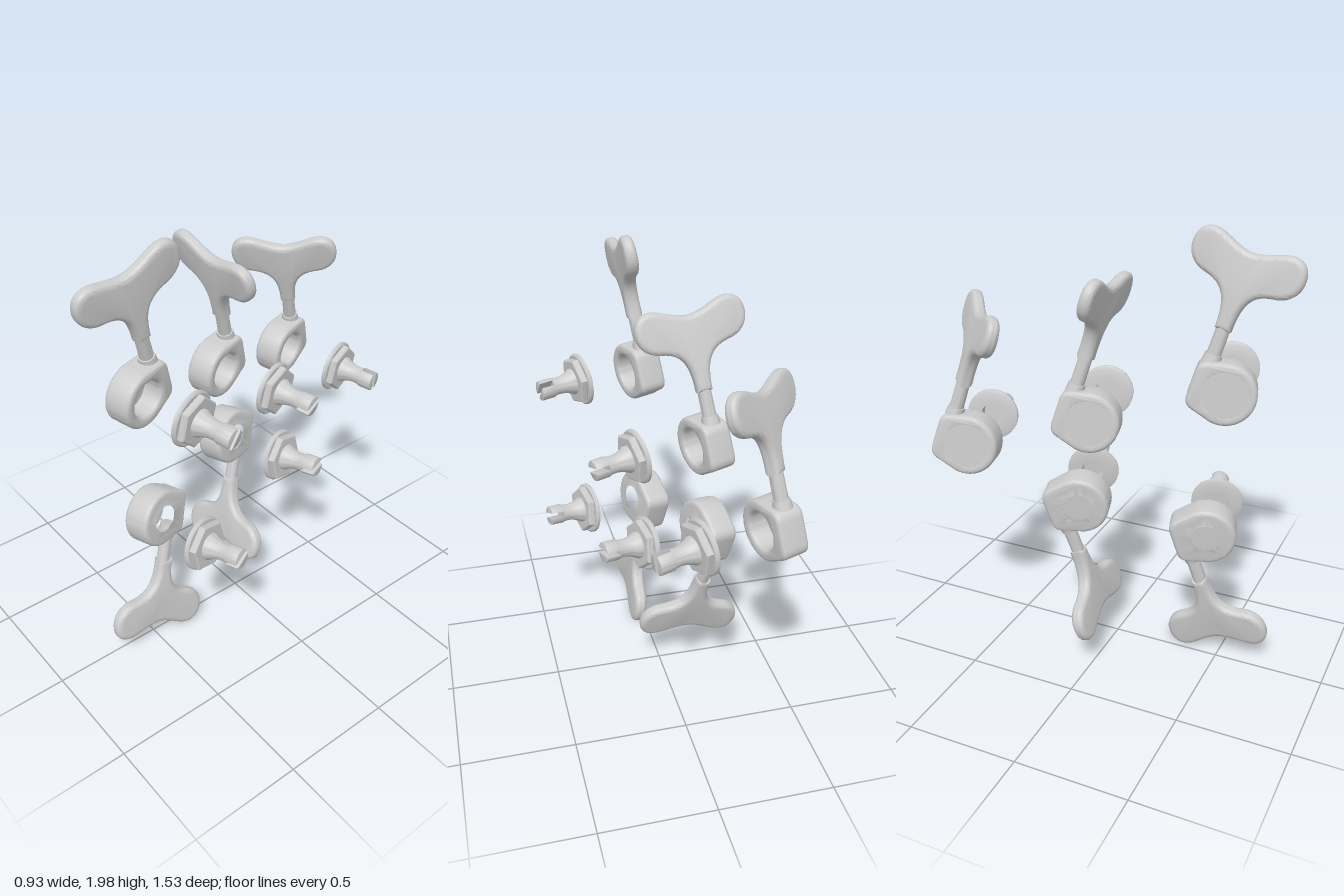
import * as THREE from 'three';
import { toCreasedNormals } from 'three/addons/utils/BufferGeometryUtils.js';

const material = new THREE.MeshStandardMaterial({ color: 0xcccccc });
const V2 = (x, y) => new THREE.Vector2(x, y);

function part(name, geometry, parent, crease = 0.6) {
  const mesh = new THREE.Mesh(toCreasedNormals(geometry, crease), material);
  mesh.name = name;
  parent.add(mesh);
  return mesh;
}

function circleHole(radius) {
  return new THREE.Path().absarc(0, 0, radius, 0, Math.PI * 2, true);
}

// Extrude centred on its depth, with bevels kept inside the outline
function slab(shape, thickness, bevel, segments = 3) {
  const geometry = new THREE.ExtrudeGeometry(shape, {
    depth: thickness - 2 * bevel, bevelEnabled: bevel > 0, bevelThickness: bevel,
    bevelSize: bevel, bevelOffset: -bevel, bevelSegments: segments, curveSegments: 32,
  });
  return geometry.translate(0, 0, bevel - thickness / 2);
}

// Gear housing: round on one side, squared off along the worm shaft
function housingGeometry(side) {
  const shape = new THREE.Shape();
  shape.absarc(0, 0, 0.132, 1.4, Math.PI * 2 - 1.4, false);
  shape.lineTo(0.1, -0.108);
  shape.quadraticCurveTo(0.148, -0.1, 0.148, -0.055);
  shape.lineTo(0.148, 0.055);
  shape.quadraticCurveTo(0.148, 0.1, 0.1, 0.108);
  shape.closePath();
  const points = shape.getPoints(24).map((p) => V2(p.x * side, p.y));
  const outline = new THREE.Shape(points);
  outline.holes.push(circleHole(0.08));
  return slab(outline, 0.125, 0.018, 4).rotateY(Math.PI / 2);
}

// Heart-like finger button on a slim neck, thinner toward the top
function buttonGeometry() {
  const half = new THREE.Path();
  half.moveTo(0.034, 0);
  half.bezierCurveTo(0.034, 0.12, 0.06, 0.175, 0.15, 0.19);
  half.bezierCurveTo(0.21, 0.2, 0.245, 0.245, 0.24, 0.3);
  half.bezierCurveTo(0.235, 0.36, 0.19, 0.385, 0.13, 0.365);
  half.bezierCurveTo(0.08, 0.347, 0.04, 0.327, 0, 0.327);
  const right = half.getPoints(14);
  const left = right.slice(0, -1).reverse().map((p) => V2(-p.x, p.y));
  const geometry = slab(new THREE.Shape([...right, ...left]), 0.066, 0.024, 5);
  const pos = geometry.attributes.position;
  for (let i = 0; i < pos.count; i++) {
    pos.setZ(i, pos.getZ(i) * (1.08 - 0.8 * pos.getY(i)));
  }
  return geometry;
}

function buildHead(side, buttonAngle) {
  const head = new THREE.Group();
  head.name = 'tuningHead';
  part('gearHousing', housingGeometry(side), head);
  // Closed back of the recess
  const back = new THREE.CylinderGeometry(0.098, 0.098, 0.035, 48).rotateZ(Math.PI / 2);
  part('housingBack', back, head).position.x = -0.045;
  // Worm shaft with a small collar, then the button
  const stem = new THREE.Group();
  stem.name = 'stem';
  stem.position.z = -0.1 * side;
  const shaft = new THREE.CylinderGeometry(0.029, 0.031, 0.2, 24);
  part('wormShaft', shaft, stem).position.y = 0.165;
  const collar = new THREE.CylinderGeometry(0.036, 0.042, 0.04, 24);
  part('shaftCollar', collar, stem).position.y = 0.115;
  const button = part('button', buttonGeometry(), stem, 0.7);
  button.position.y = 0.24;
  button.rotation.y = -buttonAngle * side;
  head.add(stem);
  return head;
}

function buildBushing(slotAngle) {
  const bushing = new THREE.Group();
  bushing.name = 'bushing';
  // Washer and waisted post in one turned profile, hollow underneath
  const profile = [
    [0, 0.035], [0.052, 0.035], [0.052, -0.018], [0.105, -0.018], [0.119, -0.012],
    [0.119, 0], [0.112, 0.006], [0.06, 0.006], [0.06, 0.042], [0.05, 0.06],
    [0.043, 0.08], [0.039, 0.1], [0.039, 0.12], [0.042, 0.14], [0, 0.14],
  ].map(([r, h]) => V2(r, h));
  part('washerAndPost', new THREE.LatheGeometry(profile, 40).rotateZ(-Math.PI / 2), bushing);
  // Hexagonal nut
  const corners = [];
  for (let i = 0; i < 6; i++) {
    const a = (i * Math.PI) / 3;
    corners.push(V2(Math.cos(a) * 0.112, Math.sin(a) * 0.112));
  }
  const hex = new THREE.Shape(corners);
  hex.holes.push(circleHole(0.056));
  part('hexNut', slab(hex, 0.034, 0.006, 1).rotateY(Math.PI / 2), bushing, 0.3).position.x = 0.02;
  // Split tip of the string post
  const tip = new THREE.Group();
  tip.name = 'slottedTip';
  tip.rotation.x = slotAngle;
  for (const turn of [0, Math.PI]) {
    const segment = new THREE.Shape();
    segment.absarc(0, 0, 0.045, 0.27, Math.PI - 0.27, false);
    segment.closePath();
    const prong = slab(segment, 0.065, 0.004, 2).rotateY(Math.PI / 2);
    const mesh = part('prong', prong, tip);
    mesh.position.x = 0.169;
    mesh.rotation.x = turn;
  }
  bushing.add(tip);
  return bushing;
}

// Frame with x along the post and y along the worm shaft
function frame(side) {
  const up = new THREE.Vector3(0.155, 0.95 * side, 0.27).normalize();
  const axis = new THREE.Vector3(0.96, -0.075 * side, -0.27);
  axis.addScaledVector(up, -axis.dot(up)).normalize();
  const across = new THREE.Vector3().crossVectors(axis, up);
  const matrix = new THREE.Matrix4().makeBasis(axis, up, across);
  return new THREE.Quaternion().setFromRotationMatrix(matrix);
}

export function createModel() {
  const model = new THREE.Group();
  model.name = 'tuningMachines';
  const deg = Math.PI / 180;
  // side: 1 points up, -1 points down
  const machines = [
    { side: 1, head: [-0.015, 1.335, 0.495], bushing: [0.27, 1.337, 0.43], button: 104, slot: 35 },
    { side: 1, head: [-0.19, 1.185, -0.04], bushing: [0.13, 1.193, -0.11], button: 12, slot: 0 },
    { side: 1, head: [-0.33, 1.045, -0.555], bushing: [-0.01, 1.045, -0.633], button: -28, slot: 75 },
    { side: -1, head: [-0.025, 0.675, 0.44], bushing: [0.265, 0.675, 0.387], button: 104, slot: 40 },
    { side: -1, head: [-0.19, 0.79, -0.093], bushing: [0.11, 0.798, -0.175], button: 12, slot: 25 },
  ];
  for (const m of machines) {
    const turn = frame(m.side);
    const head = buildHead(m.side, m.button * deg);
    head.position.set(...m.head);
    const bushing = buildBushing(m.slot * deg);
    bushing.position.set(...m.bushing);
    for (const group of [head, bushing]) {
      group.quaternion.copy(turn);
      model.add(group);
    }
  }
  return model;
}
